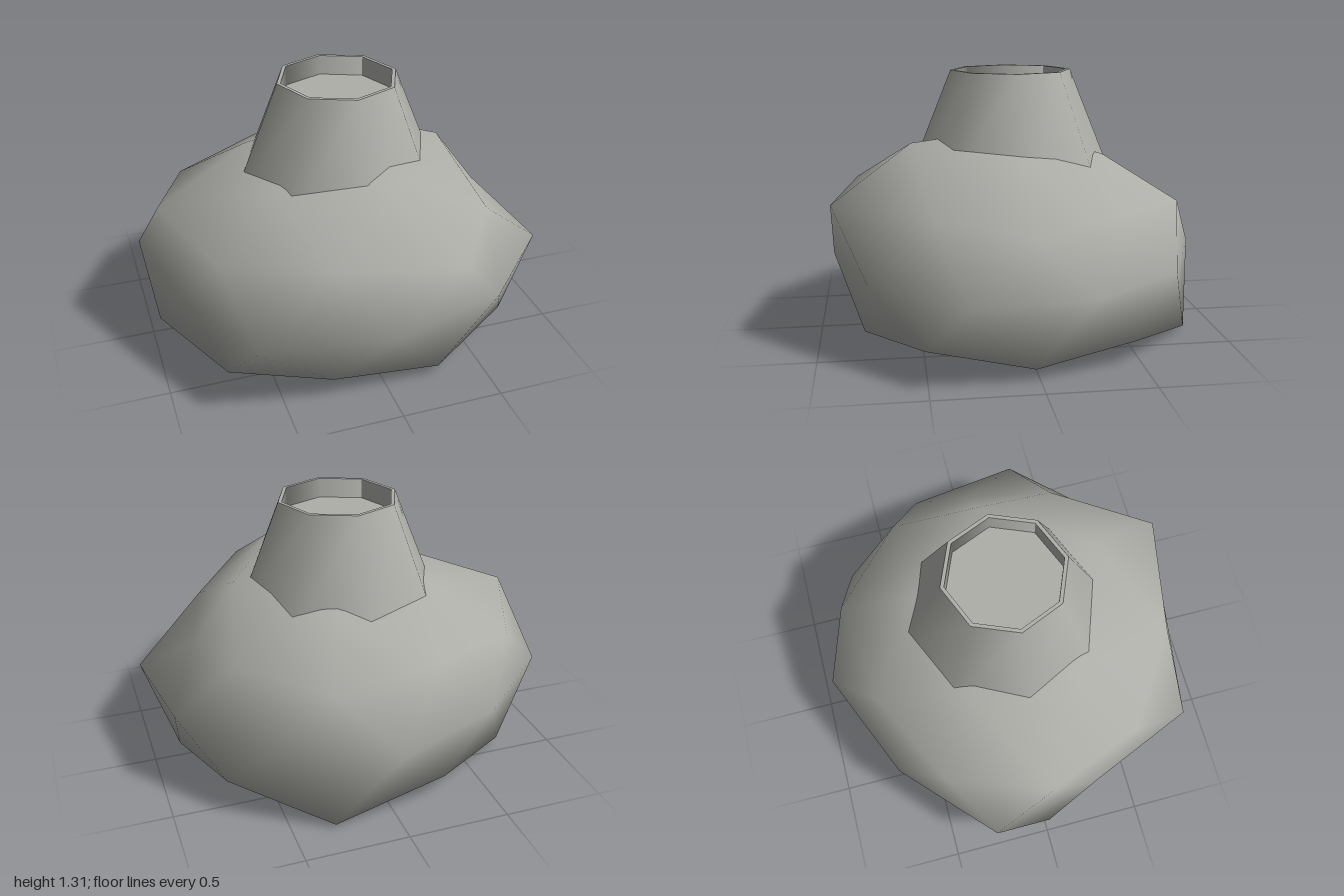
import * as THREE from 'three';
import { mergeVertices } from 'three/addons/utils/BufferGeometryUtils.js';

// Radius factors around the boulder, one per 36 degrees from +x towards +z
const BANDS = {
  cap: [1.02, 1.11, 0.95, 0.95, 0.96],                              // every 72 degrees from 0
  upper: [0.85, 0.93, 1.15, 1.05, 1.0, 1.08, 1.0, 0.97, 1.02, 0.95],
  middle: [1.05, 0.987, 0.985, 1.09, 0.915, 1.05, 0.953, 1.03, 0.97, 0.967], // from 18 degrees
  lower: [1.016, 1.0, 1.02, 0.98, 1.04, 1.074, 1.04, 1.0, 1.14, 1.0],
  base: [1.06, 0.9, 0.99, 1.0, 1.0],                                // every 72 degrees from 36
};

const CENTRE = new THREE.Vector3(0, 0.39, 0.02);
const SCALE = new THREE.Vector3(1, 0.62, 0.92);

function radiusFactor(v) {
  if (Math.abs(v.y) > 0.95) return 1;
  const step = ((Math.atan2(v.z, v.x) * 180 / Math.PI + 360) % 360) / 36;
  const ring = Math.round(step) % 10;
  if (v.y > 0.7) return BANDS.cap[Math.round(ring / 2) % 5];
  if (v.y > 0.2) return BANDS.upper[ring];
  if (v.y > -0.2) return BANDS.middle[Math.floor(step) % 10];
  if (v.y > -0.7) return BANDS.lower[ring];
  return BANDS.base[Math.floor(ring / 2) % 5];
}

// Lumpy icosphere with a vertex at the top, flattened where it meets the ground
function boulderGeometry() {
  let g = new THREE.IcosahedronGeometry(1, 1);
  g.deleteAttribute('normal');
  g.deleteAttribute('uv');
  g = mergeVertices(g, 1e-3);
  g.rotateZ(-Math.atan(2 / (1 + Math.sqrt(5))));
  const p = g.attributes.position;
  const v = new THREE.Vector3();
  for (let i = 0; i < p.count; i++) {
    v.fromBufferAttribute(p, i);
    v.multiplyScalar(radiusFactor(v)).multiply(SCALE).add(CENTRE);
    p.setXYZ(i, v.x, Math.max(0, v.y), v.z);
  }
  g.computeVertexNormals();
  return g;
}

export function createModel() {
  const model = new THREE.Group();
  const stone = new THREE.MeshStandardMaterial({ color: 0xaeaea9 });
  stone.name = 'stone grey';

  const add = (name, geometry, y = 0) => {
    const mesh = new THREE.Mesh(geometry, stone);
    mesh.name = name;
    mesh.position.set(0, y, y ? CENTRE.z : 0);
    model.add(mesh);
  };

  add('boulder', boulderGeometry());

  // Eight-sided tapering neck with corners on the axes
  const TOP = 1.31, FOOT = 0.75, RIM = 0.302, INNER = 0.283, DEPTH = 0.1;
  add('neck', new THREE.CylinderGeometry(RIM, 0.53, TOP - FOOT, 8, 1, true), (TOP + FOOT) / 2);

  // Thin lip, recessed wall and floor of the opening
  add('neckRim', new THREE.RingGeometry(INNER, RIM, 8).rotateX(-Math.PI / 2), TOP);
  const wall = new THREE.CylinderGeometry(INNER, INNER, DEPTH, 8, 1, true);
  wall.scale(-1, 1, 1);
  wall.index.array.reverse();
  wall.index.array.reverse();
  const n = wall.attributes.normal;
  for (let i = 0; i < n.count; i++) n.setXYZ(i, n.getX(i), 0, -n.getZ(i));
  add('neckInnerWall', wall, TOP - DEPTH / 2);
  add('neckFloor', new THREE.CircleGeometry(INNER, 8).rotateX(-Math.PI / 2), TOP - DEPTH);

  return model;
}
